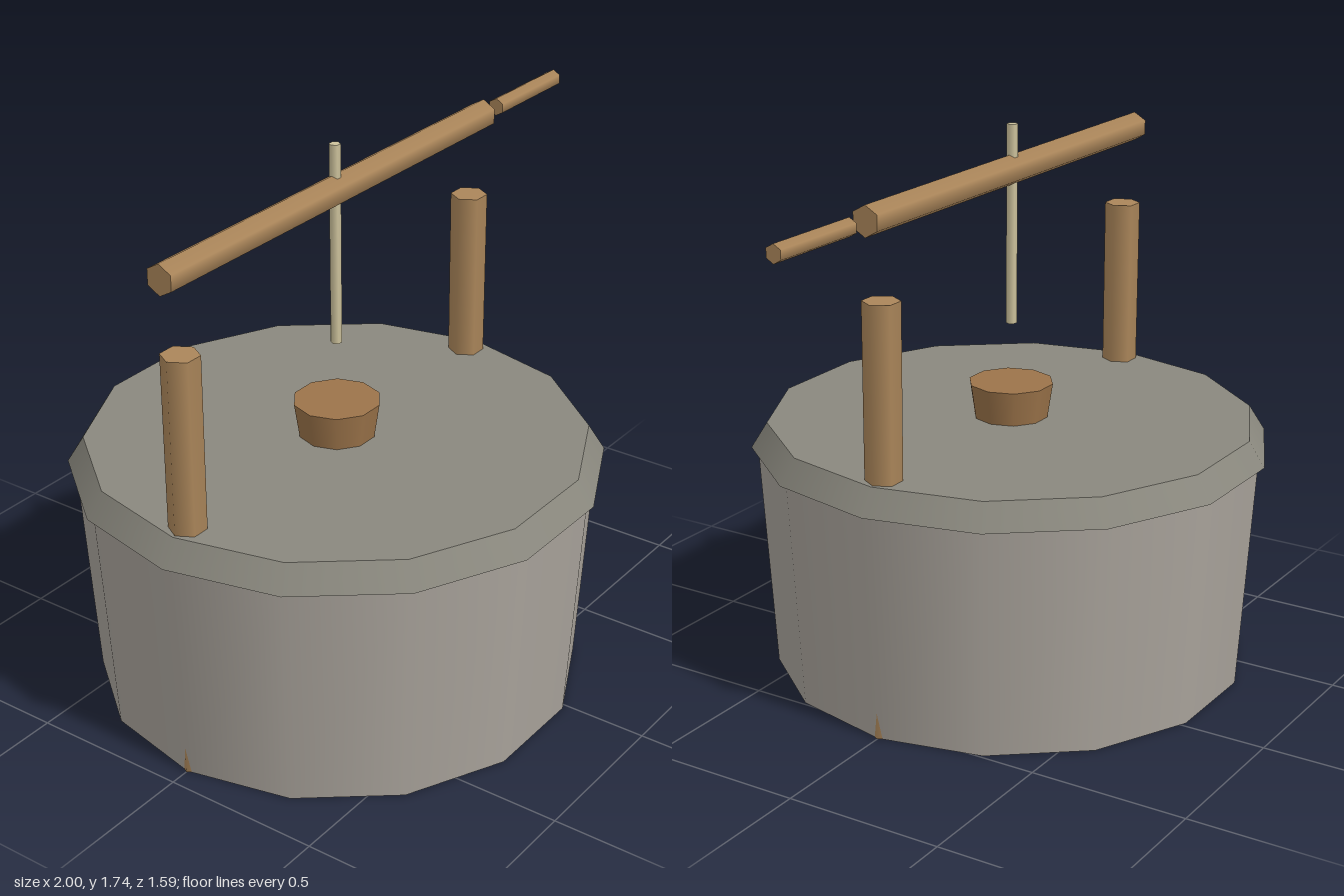
import * as THREE from 'three';

const STONE = 0xaaa49c, SLATE = 0x8a887e, WOOD = 0xab865a, BUCKET = 0x9c744a, ROPE = 0xcdc29c;
const CENTRE_X = -0.185;

// Upright tapered prism between two heights, with a corner pointing along x
function prism(name, color, rTop, rBottom, y0, y1, sides, x = CENTRE_X) {
  const geometry = new THREE.CylinderGeometry(rTop, rBottom, y1 - y0, sides);
  geometry.rotateY(Math.PI / 2);
  const mesh = new THREE.Mesh(geometry, new THREE.MeshStandardMaterial({ color }));
  mesh.name = name;
  mesh.position.set(x, (y0 + y1) / 2, 0);
  return mesh;
}

// Horizontal hexagonal bar along x, with a corner pointing up
function bar(name, color, radius, x0, x1, y) {
  const geometry = new THREE.CylinderGeometry(radius, radius, x1 - x0, 6);
  geometry.rotateY(Math.PI / 2).rotateZ(Math.PI / 2);
  const mesh = new THREE.Mesh(geometry, new THREE.MeshStandardMaterial({ color }));
  mesh.name = name;
  mesh.position.set((x0 + x1) / 2, y, 0);
  return mesh;
}

export function createModel() {
  const well = new THREE.Group();
  well.name = 'well';

  // Stone wall and bevelled rim
  well.add(prism('wall', STONE, 0.795, 0.75, 0, 0.74, 14));
  well.add(prism('rim', SLATE, 0.765, 0.815, 0.73, 0.81, 14));

  // Posts run through the wall down to the ground
  for (const side of [-1, 1]) {
    const name = side > 0 ? 'leftPost' : 'rightPost';
    well.add(prism(name, WOOD, 0.057, 0.055, 0, 1.35, 6, CENTRE_X + side * 0.7));
  }

  // Windlass beam with its separate handle
  well.add(bar('beam', WOOD, 0.047, -0.955, 0.587, 1.594));
  well.add(bar('handle', WOOD, 0.028, 0.66, 1.0, 1.594));

  // Rope and bucket
  well.add(prism('rope', ROPE, 0.017, 0.017, 1.11, 1.735, 6));
  well.add(prism('bucket', BUCKET, 0.134, 0.109, 0.75, 0.92, 10));

  return well;
}
